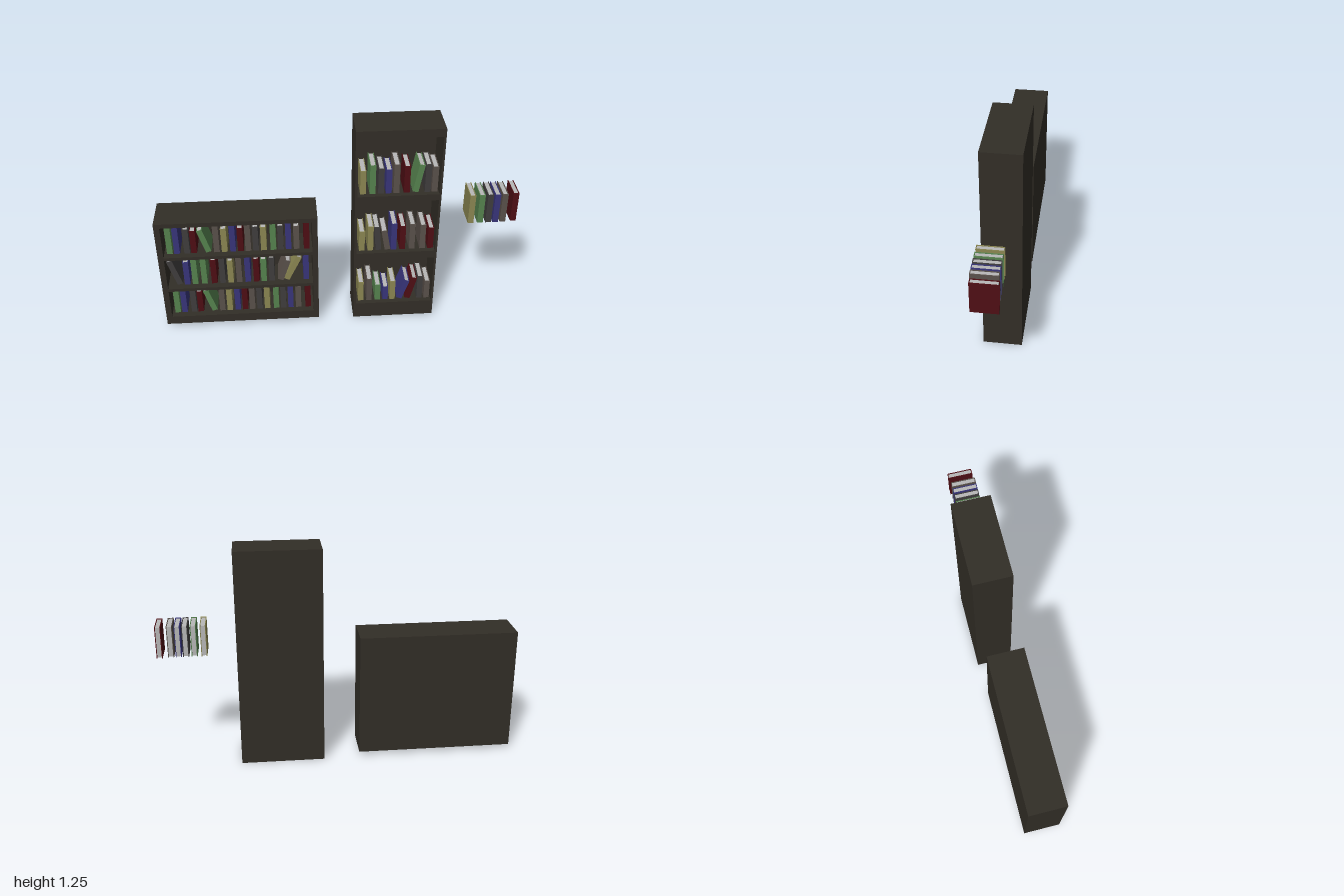
import * as THREE from 'three';

const COLORS = { y: 0x8b8752, g: 0x56834f, b: 0x38357a, r: 0x4f0e14, d: 0x403e3e, n: 0x5a514b };
const mat = (color) => new THREE.MeshStandardMaterial({ color });
const covers = Object.fromEntries(Object.entries(COLORS).map(([k, c]) => [k, mat(c)]));
const paper = mat(0xb8b8b8);
const wood = mat(0x322e27);

const BOOK_W = 0.032;
const BOOK_D = 0.14;

function box(name, w, h, d, x, y, z, material) {
  const mesh = new THREE.Mesh(new THREE.BoxGeometry(w, h, d), material);
  mesh.position.set(x, y, z);
  mesh.name = name;
  return mesh;
}

// Hardback centred on its origin: spine towards +z, pages inset on the other edges
function makeBook(color, h) {
  const t = 0.004, book = new THREE.Group(), cover = covers[color];
  book.name = 'book';
  for (const s of [-1, 1]) {
    book.add(box('cover', t, h, BOOK_D, s * (BOOK_W - t) / 2, 0, 0, cover));
  }
  book.add(box('spine', BOOK_W - 2 * t, h, t, 0, 0, (BOOK_D - t) / 2, cover));
  book.add(box('pages', BOOK_W - 2 * t, h - 0.008, BOOK_D - t - 0.004, 0, 0, 0, paper));
  return book;
}

// Row entries: [colour, centre x, height, lean to the right in radians]
function makeRow(name, books, base, z) {
  const row = new THREE.Group();
  row.name = name;
  for (const [color, x, h, lean = 0] of books) {
    const book = makeBook(color, h);
    book.rotation.z = -lean;
    const reach = h * Math.cos(lean) + BOOK_W * Math.sin(Math.abs(lean));
    book.position.set(x, base + reach / 2, z);
    row.add(book);
  }
  return row;
}

function rectangle(path, x0, x1, y0, y1) {
  path.moveTo(x0, y0);
  path.lineTo(x1, y0);
  path.lineTo(x1, y1);
  path.lineTo(x0, y1);
  path.closePath();
  return path;
}

// Frame and shelves in one extrusion with open bays, closed by a back panel
function makeCase(name, [x0, x1, y0, y1], [z0, z1], [ix0, ix1], bays) {
  const group = new THREE.Group(), back = 0.022;
  group.name = name;
  const outline = rectangle(new THREE.Shape(), x0, x1, y0, y1);
  for (const [b0, b1] of bays) outline.holes.push(rectangle(new THREE.Path(), ix0, ix1, b0, b1));
  const frame = new THREE.Mesh(
    new THREE.ExtrudeGeometry(outline, { depth: z1 - z0 - back, bevelEnabled: false }), wood);
  frame.position.z = z0 + back;
  frame.name = 'frameAndShelves';
  group.add(frame);
  group.add(box('backPanel', x1 - x0, y1 - y0, back, (x0 + x1) / 2, (y0 + y1) / 2, z0 + back / 2, wood));
  return group;
}

const wideOuterRow = [
  ['g', -0.936, 0.18], ['b', -0.896, 0.177], ['d', -0.84, 0.16], ['r', -0.802, 0.148],
  ['g', -0.742, 0.152, -0.29], ['n', -0.675, 0.177], ['y', -0.632, 0.155], ['b', -0.585, 0.178],
  ['r', -0.542, 0.155], ['n', -0.5, 0.177], ['d', -0.457, 0.16], ['y', -0.413, 0.155],
  ['g', -0.36, 0.18], ['d', -0.318, 0.16], ['b', -0.275, 0.18], ['n', -0.23, 0.155], ['r', -0.173, 0.18],
];
const wideMiddleRow = [
  ['d', -0.925, 0.17, -0.29], ['b', -0.86, 0.157], ['g', -0.815, 0.18], ['g', -0.762, 0.18],
  ['r', -0.706, 0.165], ['d', -0.658, 0.18], ['y', -0.612, 0.157], ['n', -0.563, 0.178],
  ['b', -0.514, 0.178], ['r', -0.465, 0.16], ['g', -0.423, 0.155], ['d', -0.377, 0.165],
  ['n', -0.305, 0.14, 0.33], ['y', -0.256, 0.17, 0.45], ['b', -0.18, 0.18],
];
const tallTopRow = [
  ['y', 0.139, 0.145], ['g', 0.191, 0.178], ['d', 0.237, 0.157], ['b', 0.279, 0.147], ['n', 0.321, 0.178],
  ['r', 0.378, 0.165], ['g', 0.441, 0.17, 0.18], ['d', 0.492, 0.172], ['n', 0.53, 0.157],
];
const tallMiddleRow = [
  ['y', 0.139, 0.13], ['y', 0.188, 0.162], ['d', 0.228, 0.157, -0.08], ['n', 0.275, 0.13, -0.17],
  ['b', 0.32, 0.175], ['r', 0.37, 0.157], ['n', 0.424, 0.167], ['n', 0.484, 0.16], ['r', 0.53, 0.14],
];
const tallBottomRow = [
  ['y', 0.139, 0.135], ['n', 0.188, 0.157], ['g', 0.238, 0.11], ['b', 0.284, 0.095], ['y', 0.326, 0.132],
  ['b', 0.388, 0.135, 0.32], ['r', 0.434, 0.152, 0.25], ['d', 0.487, 0.16], ['n', 0.53, 0.125],
];
const looseRow = [
  ['y', 0.743, 0.18], ['g', 0.796, 0.18], ['d', 0.842, 0.18],
  ['b', 0.882, 0.18], ['n', 0.923, 0.18],
];

export function createModel() {
  const model = new THREE.Group();
  model.name = 'bookcases';

  // Low, wide bookcase with three full shelves
  const wide = makeCase('wideBookcase', [-1, -0.112, 0.025, 0.732], [-0.1, 0.113], [-0.968, -0.142],
    [[0.078, 0.265], [0.284, 0.486], [0.505, 0.706]]);
  wide.add(makeRow('bottomBooks', wideOuterRow, 0.078, 0.005));
  wide.add(makeRow('middleBooks', wideMiddleRow, 0.284, 0.005));
  wide.add(makeRow('topBooks', wideOuterRow, 0.505, 0.005));

  // Tall, narrow bookcase
  const tall = makeCase('tallBookcase', [0.093, 0.565, 0, 1.247], [-0.115, 0.097], [0.107, 0.553],
    [[0.1, 0.42], [0.467, 0.81], [0.848, 1.2]]);
  tall.add(makeRow('bottomBooks', tallBottomRow, 0.1, -0.002));
  tall.add(makeRow('middleBooks', tallMiddleRow, 0.467, -0.002));
  tall.add(makeRow('topBooks', tallTopRow, 0.848, -0.002));

  // Loose books beside the cases
  const loose = makeRow('looseBooks', looseRow, 0.645, 0.02);
  const last = makeRow('endBook', [['r', 0.984, 0.18]], 0.645, 0.013);

  model.add(wide, tall, loose, last);
  return model;
}
